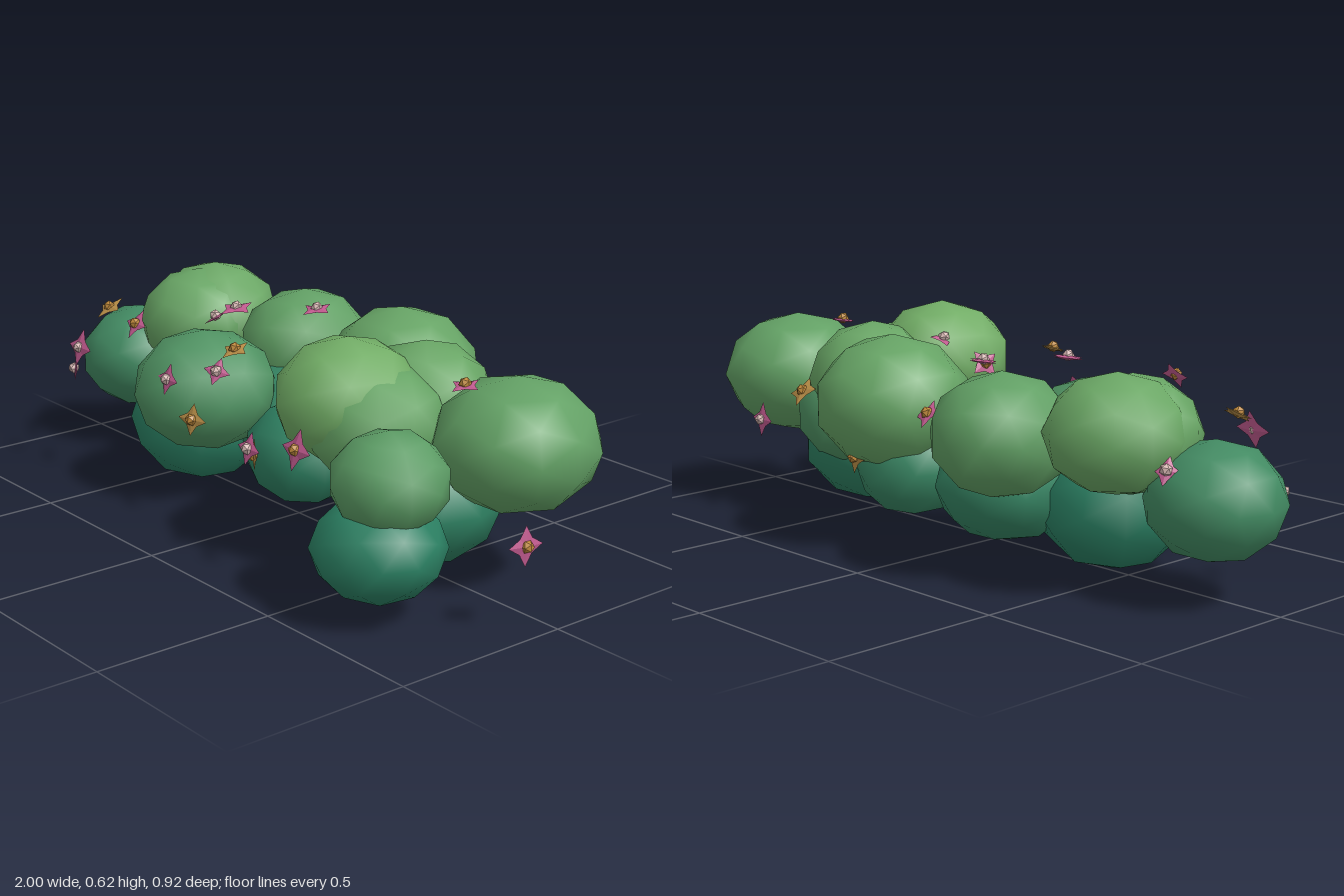
import * as THREE from 'three';

// Foliage clumps: x, y, z, horizontal radius, vertical radius
const CLUMPS = [
  [-0.82, 0.265, -0.04, 0.182, 0.155],
  [-0.61, 0.42, -0.17, 0.188, 0.155],
  [-0.61, 0.41, -0.115, 0.182, 0.155],
  [-0.29, 0.38, -0.255, 0.193, 0.165],
  [-0.29, 0.315, 0.105, 0.207, 0.17],
  [-0.425, 0.18, 0.02, 0.207, 0.18],
  [-0.20, 0.22, -0.15, 0.195, 0.155],
  [0.045, 0.20, 0.01, 0.172, 0.145],
  [0.10, 0.23, -0.215, 0.155, 0.14],
  [0.145, 0.40, -0.245, 0.215, 0.185],
  [0.20, 0.29, -0.07, 0.155, 0.13],
  [0.40, 0.41, -0.10, 0.182, 0.165],
  [0.47, 0.31, -0.12, 0.162, 0.15],
  [0.355, 0.45, 0.125, 0.195, 0.165],
  [0.43, 0.40, 0.10, 0.187, 0.16],
  [0.74, 0.385, -0.10, 0.218, 0.175],
  [0.69, 0.355, 0.275, 0.152, 0.13],
  [0.675, 0.185, 0.295, 0.172, 0.135],
  [0.50, 0.20, 0.0, 0.217, 0.175],
];

// Blossoms: x, y, z, facing direction, petal colour, centre colour, radius
const PINK = 0xc05a8e, GOLD = 0xb48a45, PALE = 0xd8b8b4, AMBER = 0xc08a3c;
const UP = [0, 1, 0.15], FRONT = [0, 0.3, 1], BACK = [0.1, 0.1, -1];
const BLOSSOMS = [
  [-0.85, 0.255, 0.18, [-0.5, 0.1, 0.8], PINK, PALE, 0.04],
  [-0.68, 0.375, 0.27, FRONT, PINK, PALE, 0.055],
  [-0.76, 0.45, 0.11, [-0.1, 0.9, 0.5], GOLD, AMBER, 0.05],
  [-0.445, 0.49, 0.23, [0, 0.6, 0.8], PINK, AMBER, 0.045],
  [-0.405, 0.475, -0.02, [-0.4, 0.9, 0.3], PINK, PALE, 0.04],
  [-0.255, 0.54, 0.02, UP, PINK, PALE, 0.055],
  [-0.225, 0.39, 0.28, FRONT, PINK, PALE, 0.045],
  [-0.12, 0.30, 0.275, [0.3, 0.2, 0.9], GOLD, AMBER, 0.045],
  [-0.12, 0.535, -0.16, UP, PINK, PALE, 0.05],
  [-0.08, 0.41, -0.32, [0.1, 0.7, -0.7], PINK, AMBER, 0.045],
  [-0.12, 0.42, 0.19, [0.4, 0.5, 0.7], PINK, PALE, 0.04],
  [-0.05, 0.38, -0.12, [-0.9, 0.3, -0.3], PINK, PALE, 0.045],
  [-0.01, 0.51, 0.21, [0, 0.9, 0.3], GOLD, AMBER, 0.045],
  [0.11, 0.255, 0.24, [-0.5, 0, 0.85], GOLD, AMBER, 0.045],
  [0.15, 0.46, 0.10, [-0.8, 0.4, -0.3], PINK, AMBER, 0.045],
  [0.21, 0.32, 0.335, FRONT, PINK, PALE, 0.045],
  [0.235, 0.53, 0.02, [-0.4, 0.9, 0], PINK, PALE, 0.04],
  [0.405, 0.37, 0.335, FRONT, PINK, AMBER, 0.055],
  [0.505, 0.38, -0.27, [0.1, 0.7, -0.7], GOLD, AMBER, 0.052],
  [0.66, 0.535, 0.005, UP, PINK, AMBER, 0.045],
  [0.66, 0.28, -0.30, BACK, PINK, PALE, 0.05],
  [0.98, 0.235, 0.10, [1, 0.05, 0.1], PINK, AMBER, 0.052],
  [-0.79, 0.36, -0.19, [-0.5, 0.5, -0.7], PINK, PALE, 0.04],
  [0.17, 0.26, -0.36, BACK, GOLD, AMBER, 0.045],
];

// Four-pointed star facing +z, as a shallow double pyramid
function starGeometry() {
  const ring = [];
  for (let i = 0; i < 8; i++) {
    const a = (i * Math.PI) / 4, r = i % 2 ? 0.52 : 1;
    ring.push([r * Math.sin(a), r * Math.cos(a), 0]);
  }
  const corners = [];
  for (let i = 0; i < 8; i++) {
    const a = ring[i], b = ring[(i + 1) % 8];
    corners.push(...b, ...a, 0, 0, 0.14, ...a, ...b, 0, 0, -0.14);
  }
  const geometry = new THREE.BufferGeometry();
  geometry.setAttribute('position', new THREE.Float32BufferAttribute(corners, 3));
  geometry.computeVertexNormals();
  return geometry;
}

export function createModel() {
  const group = new THREE.Group();
  group.name = 'floweringBush';

  // Rounded foliage, lighter the higher it sits
  const foliage = new THREE.Group();
  foliage.name = 'foliage';
  const ball = new THREE.IcosahedronGeometry(1, 1);
  const low = new THREE.Color(0x2a7f62), high = new THREE.Color(0x72ad66);
  CLUMPS.forEach(([x, y, z, r, ry], i) => {
    const t = THREE.MathUtils.clamp((y - 0.18) / 0.27, 0, 1) ** 1.3;
    const color = low.clone().lerp(high, t);
    const clump = new THREE.Mesh(ball, new THREE.MeshStandardMaterial({ color }));
    clump.name = 'leafClump' + (i + 1);
    clump.position.set(x, y, z);
    clump.scale.set(r, ry, r);
    clump.rotation.y = i * 0.7;
    foliage.add(clump);
  });
  group.add(foliage);

  // Star blossoms with a small faceted centre
  const star = starGeometry();
  const bead = new THREE.IcosahedronGeometry(0.017, 0);
  const materials = {};
  const paint = (color) =>
    (materials[color] ??= new THREE.MeshStandardMaterial({ color, flatShading: true }));
  const forward = new THREE.Vector3(0, 0, 1);
  BLOSSOMS.forEach(([x, y, z, facing, petalColor, centreColor, radius], i) => {
    const blossom = new THREE.Group();
    blossom.name = 'blossom' + (i + 1);
    const petals = new THREE.Mesh(star, paint(petalColor));
    petals.name = 'petals';
    petals.scale.setScalar(radius);
    const centre = new THREE.Mesh(bead, paint(centreColor));
    centre.name = 'flowerCentre';
    centre.position.z = 0.006;
    blossom.add(petals, centre);
    blossom.position.set(x, y, z);
    blossom.quaternion.setFromUnitVectors(forward, new THREE.Vector3(...facing).normalize());
    group.add(blossom);
  });
  return group;
}
